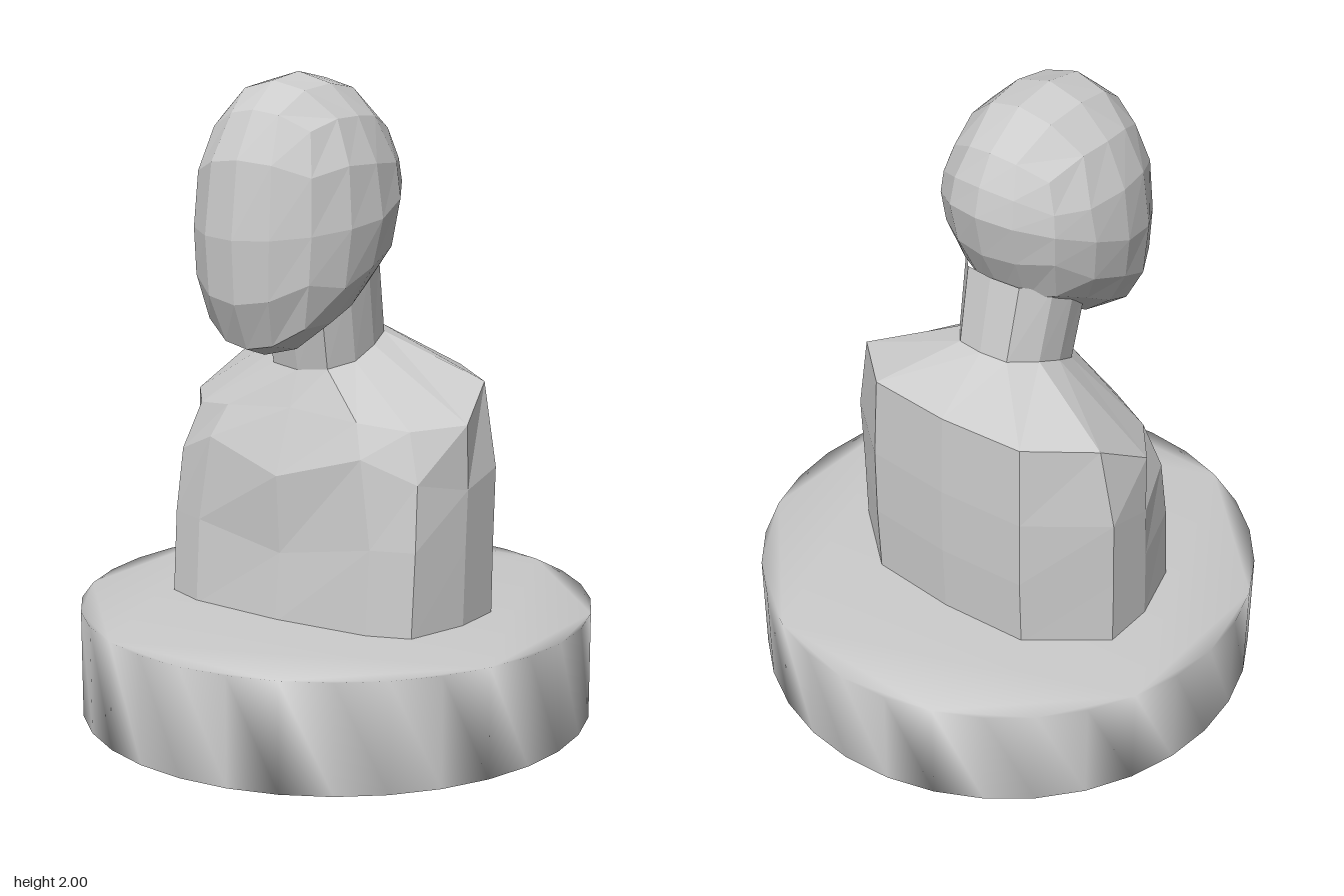
import * as THREE from 'three';
import { mergeVertices } from 'three/addons/utils/BufferGeometryUtils.js';

const CENTER_X = -0.03;

function facetedMesh(geometry, name) {
  const flat = geometry.index ? geometry.toNonIndexed() : geometry;
  flat.computeVertexNormals();
  const mesh = new THREE.Mesh(flat, new THREE.MeshStandardMaterial({ color: 0xcccccc, flatShading: true }));
  mesh.name = name;
  return mesh;
}

// Skins half rings (front centre -> left side -> back centre), mirrored across x.
function loftHalfRings(halfRings) {
  const rings = halfRings.map((half) => [
    ...half,
    ...half.slice(1, -1).reverse().map(([x, y, z]) => [-x, y, z]),
  ]);
  const n = rings[0].length;
  const index = [];
  for (let j = 0; j < rings.length - 1; j++) {
    for (let i = 0; i < n; i++) {
      const a = j * n + i;
      const b = j * n + ((i + 1) % n);
      index.push(a, b, b + n, a, b + n, a + n);
    }
  }
  const geometry = new THREE.BufferGeometry();
  geometry.setAttribute('position', new THREE.Float32BufferAttribute(rings.flat(2), 3));
  geometry.setIndex(index);
  return geometry.translate(CENTER_X, 0, 0);
}

// Round plinth, its normals blended over the rim
function createPlinth() {
  const rim = [];
  for (let i = 0; i < 32; i++) {
    const a = (i / 32) * Math.PI * 2;
    rim.push(new THREE.Vector2(Math.cos(a) * 0.806, Math.sin(a) * 0.806));
  }
  let geometry = new THREE.ExtrudeGeometry(new THREE.Shape(rim), { depth: 0.34, bevelEnabled: false });
  geometry.rotateX(-Math.PI / 2);
  geometry.deleteAttribute('normal');
  geometry.deleteAttribute('uv');
  geometry = mergeVertices(geometry, 1e-4);
  geometry.computeVertexNormals();
  const mesh = new THREE.Mesh(geometry, new THREE.MeshStandardMaterial({ color: 0xcccccc }));
  mesh.name = 'plinth';
  return mesh;
}

// Where the neck grows out of the shoulders
const COLLAR = [
  [0, 1.1, 0.165], [0.1, 1.11, 0.15], [0.155, 1.13, 0.08], [0.17, 1.17, 0],
  [0.155, 1.2, -0.08], [0.09, 1.21, -0.155], [0, 1.215, -0.17],
];

function createTorso() {
  return facetedMesh(loftHalfRings([
    // waist
    [[0, 0.33, 0.29], [0.32, 0.33, 0.27], [0.45, 0.33, 0.22], [0.51, 0.33, 0.02],
      [0.51, 0.33, -0.15], [0.29, 0.33, -0.33], [0, 0.33, -0.35]],
    // ribs
    [[0, 0.545, 0.265], [0.32, 0.6, 0.25], [0.45, 0.6, 0.2], [0.51, 0.58, 0.01],
      [0.51, 0.57, -0.155], [0.29, 0.57, -0.34], [0, 0.57, -0.36]],
    // chest
    [[0, 0.79, 0.28], [0.28, 0.87, 0.24], [0.44, 0.8, 0.175], [0.51, 0.76, 0],
      [0.51, 0.8, -0.165], [0.29, 0.8, -0.34], [0, 0.8, -0.36]],
    // shoulders
    [[0, 0.99, 0.205], [0.24, 0.97, 0.2], [0.39, 0.95, 0.14], [0.505, 0.96, 0],
      [0.46, 1.06, -0.175], [0.28, 1.07, -0.33], [0, 1.07, -0.35]],
    COLLAR,
  ]), 'torso');
}

// Neck leans forward and its top is hidden inside the head
function createNeck() {
  const top = COLLAR.map(([x, y, z]) => [x * 1.08, y + 0.24, z + 0.05]);
  return facetedMesh(loftHalfRings([COLLAR, top]), 'neck');
}

// Head: a cube rounded to a ball, then fitted to a side profile
function createHead() {
  const middle = new THREE.Vector2(0.14, 1.58);
  // profile as [z, y], from the crown over the face and chin to the nape
  const profile = new THREE.CatmullRomCurve3([
    [0.14, 2.0], [0.27, 1.98], [0.37, 1.9], [0.45, 1.76],
    [0.48, 1.53], [0.47, 1.34], [0.41, 1.2], [0.32, 1.17],
    [0.19, 1.21], [0.05, 1.3], [-0.08, 1.39], [-0.17, 1.56],
    [-0.2, 1.7], [-0.18, 1.79], [-0.13, 1.88], [0, 1.975],
  ].map(([z, y]) => new THREE.Vector3(0, y, z)), true, 'catmullrom', 0.5);

  const geometry = new THREE.BoxGeometry(2, 2, 2, 4, 4, 4);
  const position = geometry.attributes.position;
  const p = new THREE.Vector3();
  const warp = (v) => Math.tan(v * Math.PI / 4);
  for (let i = 0; i < position.count; i++) {
    p.fromBufferAttribute(position, i);
    p.set(warp(p.x), warp(p.y), warp(p.z)).normalize();
    const turn = Math.atan2(p.z, p.y) / (Math.PI * 2);
    const edge = profile.getPoint((turn + 1) % 1);
    const r = Math.hypot(p.y, p.z);
    position.setXYZ(i,
      -0.04 + p.x * 0.302,
      middle.y + r * (edge.y - middle.y),
      middle.x + r * (edge.z - middle.x));
  }
  return facetedMesh(geometry, 'head');
}

export function createModel() {
  const model = new THREE.Group();
  model.name = 'bustOnPlinth';
  model.add(createPlinth(), createTorso(), createNeck(), createHead());
  return model;
}
